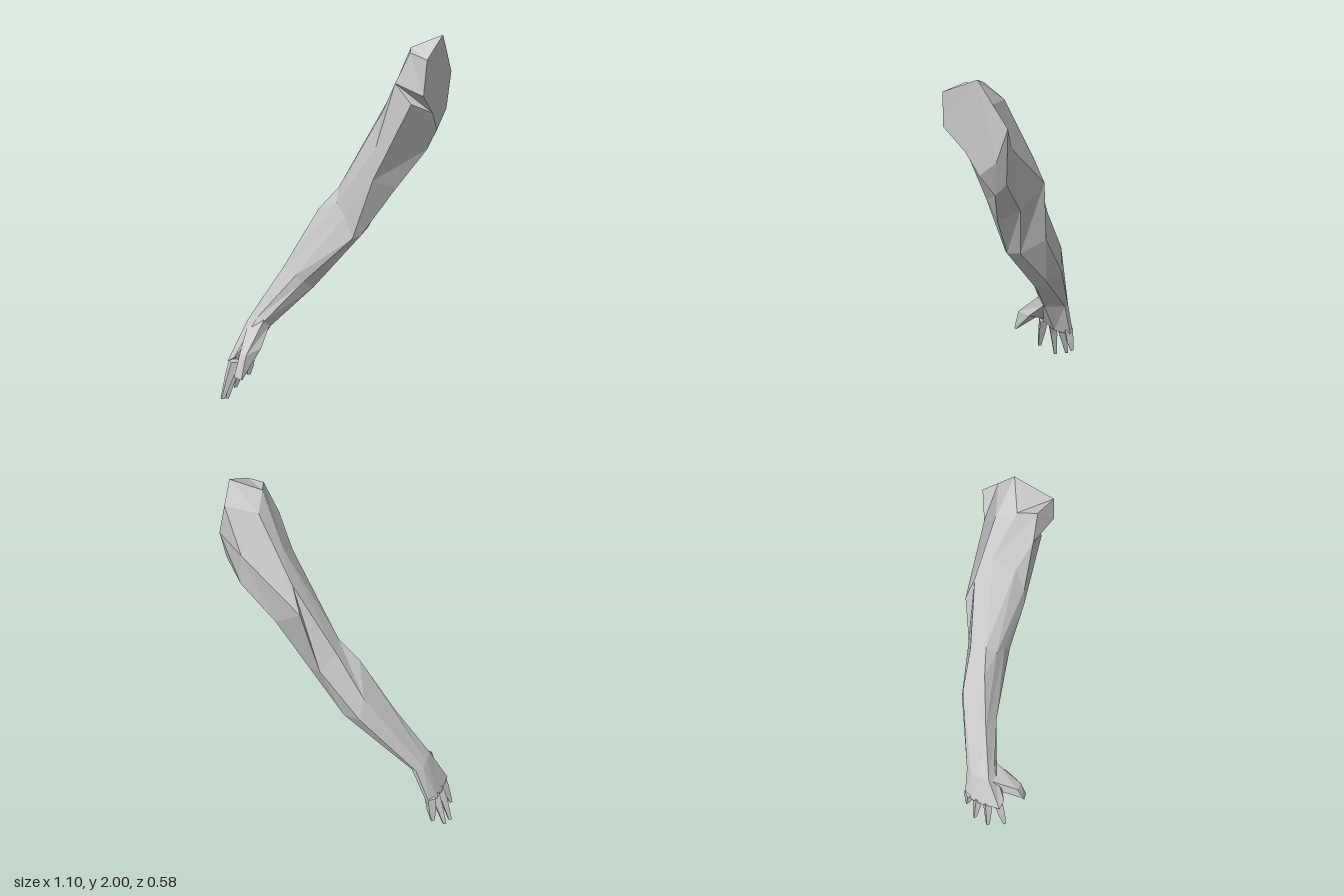
import * as THREE from 'three';

const material = new THREE.MeshStandardMaterial({ color: 0xcccccc, flatShading: true });

// Skin a row of equal-sized cross-sections; each runs counter-clockwise seen from the start.
function loft(name, rings, capStart, capEnd) {
  const pos = [];
  const tri = (a, b, c) => pos.push(...a, ...b, ...c);
  const n = rings[0].length;
  for (let r = 0; r < rings.length - 1; r++) {
    const p = rings[r], q = rings[r + 1];
    for (let i = 0; i < n; i++) {
      const j = (i + 1) % n;
      tri(p[j], p[i], q[i]);
      tri(p[j], q[i], q[j]);
    }
  }
  const last = rings[rings.length - 1];
  for (let i = 1; i < n - 1; i++) {
    if (capStart) tri(rings[0][0], rings[0][i], rings[0][i + 1]);
    if (capEnd) tri(last[0], last[i + 1], last[i]);
  }
  const geometry = new THREE.BufferGeometry();
  geometry.setAttribute('position', new THREE.Float32BufferAttribute(pos, 3));
  geometry.computeVertexNormals();
  const mesh = new THREE.Mesh(geometry, material);
  mesh.name = name;
  return mesh;
}

// Cross-sections: top, three along the front, underside, three up the back.
const shoulderCut = [
  [0.54, 2.0, -0.14], [0.545, 1.91, 0.05], [0.535, 1.74, 0.06], [0.53, 1.64, -0.06],
  [0.525, 1.54, -0.13], [0.53, 1.63, -0.23], [0.525, 1.8, -0.29], [0.533, 1.9, -0.215]];
const shoulder = [
  [0.405, 1.94, -0.075], [0.44, 1.93, 0.01], [0.37, 1.78, 0.02], [0.46, 1.69, 0.03],
  [0.46, 1.43, -0.17], [0.46, 1.5, -0.235], [0.44, 1.67, -0.25], [0.38, 1.87, -0.17]];
const biceps = [
  [0.27, 1.68, -0.14], [0.28, 1.62, -0.03], [0.27, 1.45, 0.02], [0.26, 1.29, 0.025],
  [0.33, 1.23, -0.09], [0.3, 1.3, -0.2], [0.15, 1.4, -0.235], [0.2, 1.54, -0.205]];
const elbow = [
  [0.02, 1.2, -0.08], [0.03, 1.13, -0.03], [0.09, 1.08, -0.01], [0.14, 0.97, 0],
  [0.17, 0.98, -0.03], [0.17, 1.0, -0.11], [0.07, 1.06, -0.195], [0, 1.17, -0.155]];
const forearm = [
  [-0.08, 1.08, -0.05], [-0.25, 0.76, 0.02], [-0.16, 0.74, 0.045], [-0.13, 0.7, 0.03],
  [-0.1, 0.66, -0.03], [-0.03, 0.77, -0.13], [-0.13, 0.79, -0.16], [-0.145, 0.92, -0.145]];
const wrist = [
  [-0.425, 0.46, 0.04], [-0.42, 0.47, 0.1], [-0.36, 0.49, 0.108], [-0.315, 0.48, 0.105],
  [-0.305, 0.44, 0.06], [-0.37, 0.44, -0.03], [-0.395, 0.44, -0.035], [-0.42, 0.45, 0]];
const knuckles = [
  [-0.5, 0.23, 0.09], [-0.495, 0.25, 0.19], [-0.45, 0.28, 0.2], [-0.42, 0.28, 0.16],
  [-0.44, 0.22, 0.08], [-0.455, 0.22, -0.015], [-0.475, 0.22, -0.02], [-0.495, 0.23, 0.03]];

// Diamond-shaped section for the fingers.
const diamond = (x, y, z, dx, dz) =>
  [[x - dx, y, z], [x, y, z + dz], [x + dx, y, z], [x, y, z - dz]];

export function createModel() {
  const arm = new THREE.Group();
  arm.name = 'arm';
  arm.add(
    loft('upperArm', [shoulderCut, shoulder, biceps, elbow], true, false),
    loft('forearm', [elbow, forearm, wrist], false, false),
    loft('palm', [wrist, knuckles], false, true));

  // Thumb with its broad root
  arm.add(loft('thumb', [
    [[-0.42, 0.46, 0.09], [-0.32, 0.485, 0.104], [-0.31, 0.44, 0.07], [-0.42, 0.29, 0.12]],
    [[-0.38, 0.34, 0.25], [-0.34, 0.335, 0.255], [-0.305, 0.35, 0.16], [-0.41, 0.29, 0.18]],
    [[-0.39, 0.22, 0.295], [-0.35, 0.21, 0.29], [-0.35, 0.21, 0.275], [-0.385, 0.215, 0.275]],
  ], true, true));

  // Four fingers: root z, then tip x, y, z
  const fingers = {
    indexFinger: [0.17, -0.51, 0.045, 0.225],
    middleFinger: [0.11, -0.54, 0.005, 0.137],
    ringFinger: [0.055, -0.535, 0.04, 0.058],
    littleFinger: [0.005, -0.488, 0.1, -0.005],
  };
  for (const [name, [z, tx, ty, tz]] of Object.entries(fingers)) {
    arm.add(loft(name, [
      diamond(-0.466, 0.25, z, 0.033, 0.03),
      diamond(-0.47 * 0.6 + tx * 0.4, 0.16, z * 0.55 + tz * 0.45, 0.026, 0.024),
      diamond(tx, ty, tz, 0.012, 0.011),
    ], true, true));
  }
  return arm;
}
